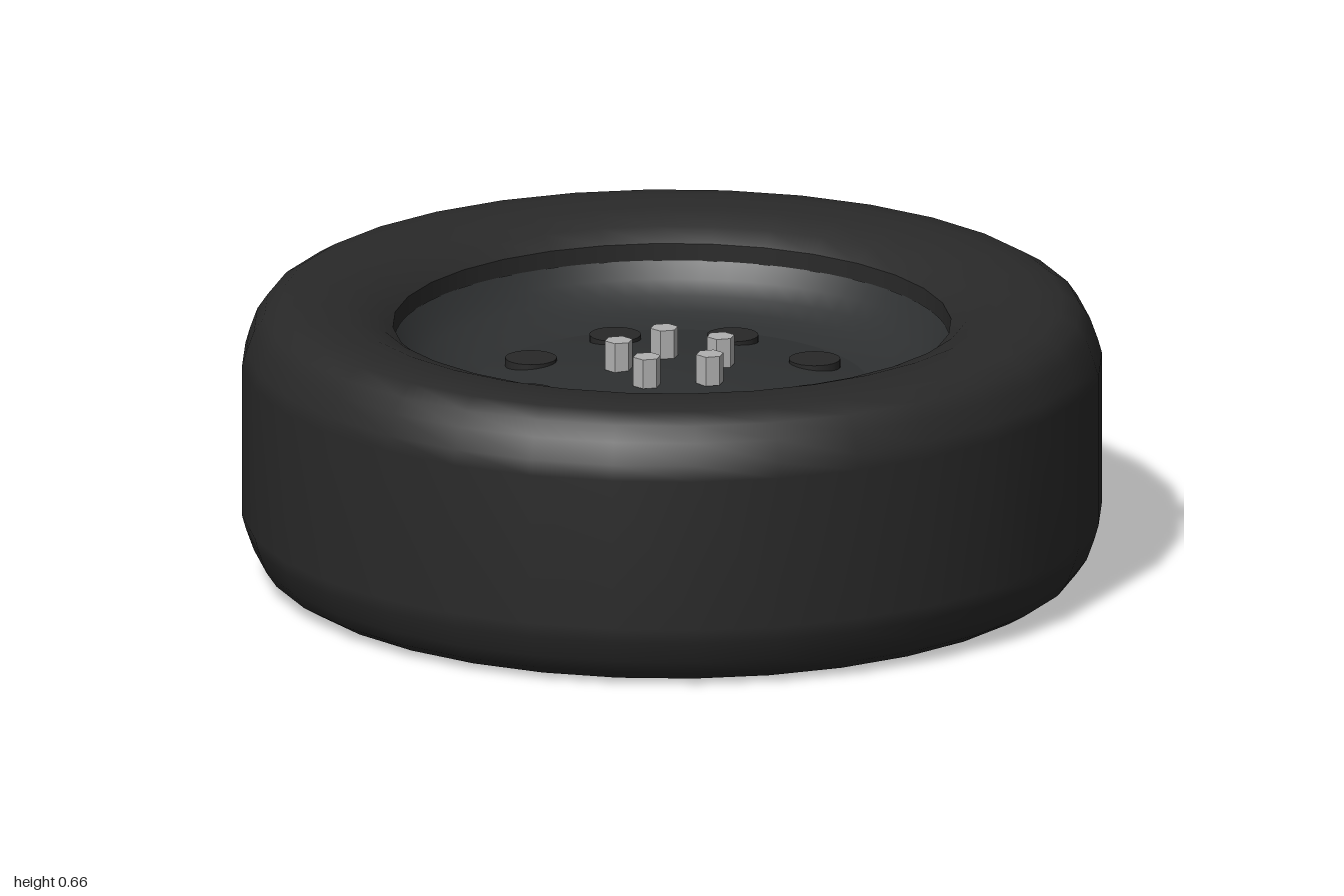
import * as THREE from 'three';

const TIRE = 0x292929, RIM = 0x2e3031, PLUG = 0x282828, NUT = 0xb0b0b0;

export function createModel() {
  const model = new THREE.Group();
  model.name = 'wheel';

  const material = (color, options = {}) => new THREE.MeshStandardMaterial({ color, ...options });

  function add(name, geometry, mat, parent = model) {
    const mesh = new THREE.Mesh(geometry, mat);
    mesh.name = name;
    parent.add(mesh);
    return mesh;
  }

  const lathe = (points, segments) =>
    new THREE.LatheGeometry(points.map(([r, y]) => new THREE.Vector2(r, y)), segments);

  // Tire: half a rounded profile, mirrored about mid height
  const mid = 0.33;
  const lower = [
    [0.65, 0.06], [0.69, 0.03], [0.76, 0.007], [0.85, 0], [0.91, 0.006],
    [0.95, 0.03], [0.974, 0.065], [0.992, 0.115], [1.002, 0.15],
  ];
  const upper = lower.map(([r, y]) => [r, 2 * mid - y]).reverse();
  const tireMaterial = material(TIRE, { side: THREE.DoubleSide });
  const tire = new THREE.Group();
  tire.name = 'tire';
  tire.rotation.y = THREE.MathUtils.degToRad(4);
  model.add(tire);
  add('tireBody', lathe([...lower, ...upper], 32), tireMaterial, tire);
  add('tireInnerWall', lathe([[0.65, 0.6], [0.65, 0.06]], 32), tireMaterial, tire);

  // Rim: a shallow bowl above the hub disc and a deep one below it
  const rimMaterial = material(RIM, { side: THREE.DoubleSide });
  add('rimBowl', lathe([
    [0.646, 0.56], [0.62, 0.522], [0.585, 0.492], [0.54, 0.468], [0.5, 0.455], [0.46, 0.447],
  ], 64), rimMaterial);
  add('rimBarrel', lathe([
    [0.646, 0.105], [0.638, 0.2], [0.62, 0.3], [0.585, 0.375], [0.53, 0.42], [0.46, 0.443],
  ], 64), rimMaterial);

  // Hub disc: thin and slightly domed
  add('hubDisc', lathe([
    [0.463, 0.447], [0.36, 0.46], [0.24, 0.473], [0.12, 0.483], [0, 0.487],
  ], 48), rimMaterial);

  // Round plugs through the hub disc
  const plugGeometry = new THREE.CylinderGeometry(0.06, 0.06, 0.03, 24);
  const plugMaterial = material(PLUG);
  for (let i = 0; i < 8; i++) {
    const a = ((i + 0.5) / 8) * Math.PI * 2;
    add('hubPlug', plugGeometry, plugMaterial)
      .position.set(0.357 * Math.cos(a), 0.459, 0.357 * Math.sin(a));
  }

  // Hexagonal lug nuts
  const nutGeometry = new THREE.CylinderGeometry(0.033, 0.033, 0.07, 6).rotateY(Math.PI / 6);
  const nutMaterial = material(NUT, { flatShading: true });
  for (let i = 0; i < 5; i++) {
    const a = (i / 5) * Math.PI * 2;
    add('lugNut', nutGeometry, nutMaterial)
      .position.set(0.126 * Math.cos(a), 0.517, 0.126 * Math.sin(a));
  }

  return model;
}
